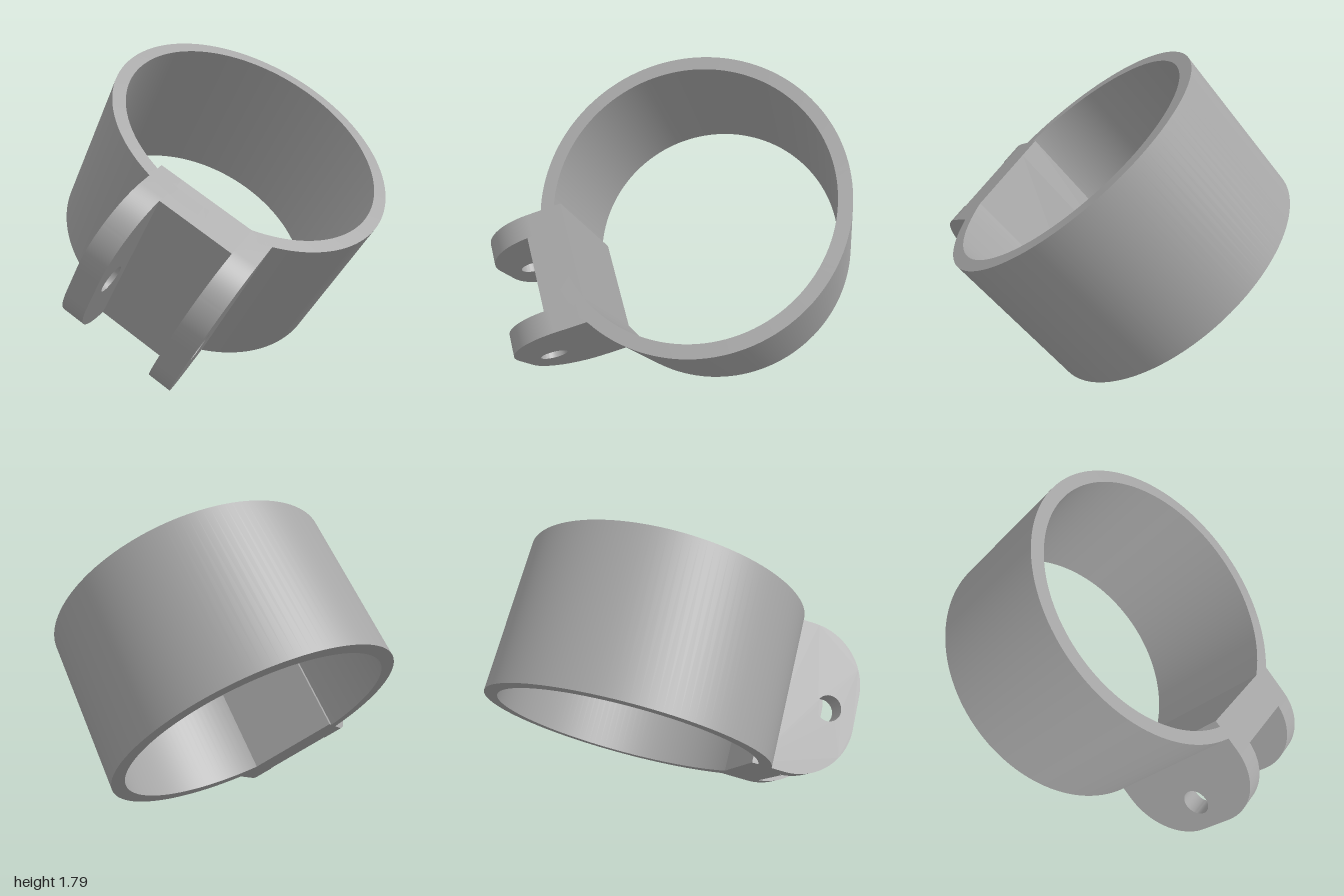
import * as THREE from 'three';
import { toCreasedNormals } from 'three/addons/utils/BufferGeometryUtils.js';

// Clamp-local frame: x = outward to the hinge, y = ring axis (0 at top rim), z = along the pin
const HEIGHT = 0.905, OUTER = 0.838, INNER = 0.763;
const FLAT = 0.69, FLOOR = 0.915, TIP = 1.235, FILLET = 0.35;

const grey = new THREE.MeshStandardMaterial({ color: 0xa6a6a6 });
grey.name = 'grey';

function part(name, geometry) {
  const mesh = new THREE.Mesh(toCreasedNormals(geometry, 0.5), grey);
  mesh.name = name;
  return mesh;
}

// Rounded lug plate with a pin hole
function lugGeometry(thickness) {
  const s = new THREE.Shape();
  const c = TIP - FILLET;
  s.moveTo(FLAT, -HEIGHT);
  s.lineTo(c, -HEIGHT);
  s.absarc(c, -HEIGHT + FILLET, FILLET, -Math.PI / 2, 0, false);
  s.absarc(c, -FILLET, FILLET, 0, Math.PI / 2, false);
  s.lineTo(FLAT, 0);
  s.closePath();
  const hole = new THREE.Path();
  hole.absarc(1.067, -0.475, 0.077, 0, Math.PI * 2, true);
  s.holes.push(hole);
  return new THREE.ExtrudeGeometry(s, { depth: thickness, bevelEnabled: false, curveSegments: 24 });
}

export function createModel() {
  const model = new THREE.Group();
  model.name = 'ringClamp';
  const clamp = new THREE.Group();
  clamp.name = 'clamp';
  model.add(clamp);

  // Ring band
  const profile = [
    [INNER, 0], [INNER, -HEIGHT], [OUTER, -HEIGHT], [OUTER, 0], [INNER, 0],
  ].map(([r, y]) => new THREE.Vector2(r, y));
  clamp.add(part('ring', new THREE.LatheGeometry(profile, 128)));

  // Hinge lugs, set off-centre along the pin
  const lugs = { frontLug: [-0.457, -0.328], rearLug: [0.096, 0.226] };
  for (const [name, [z0, z1]] of Object.entries(lugs)) {
    const lug = part(name, lugGeometry(z1 - z0));
    lug.position.z = z0;
    clamp.add(lug);
  }

  // Flat web joining the lugs to the ring
  const z0 = lugs.frontLug[1], z1 = lugs.rearLug[0];
  const web = part('hingeWeb', new THREE.BoxGeometry(FLOOR - FLAT, HEIGHT, z1 - z0));
  web.position.set((FLAT + FLOOR) / 2, -HEIGHT / 2, (z0 + z1) / 2);
  clamp.add(web);

  // Tilt the whole clamp into its resting pose
  const axis = new THREE.Vector3(0.065, 0.77, 0.634).normalize();
  const pin = new THREE.Vector3(-0.57, 0.5515, -0.611);
  const out = new THREE.Vector3().crossVectors(axis, pin).normalize();
  pin.crossVectors(out, axis);
  clamp.quaternion.setFromRotationMatrix(new THREE.Matrix4().makeBasis(out, axis, pin));
  clamp.position.set(0.163, 1.25, 0.242);
  return model;
}
